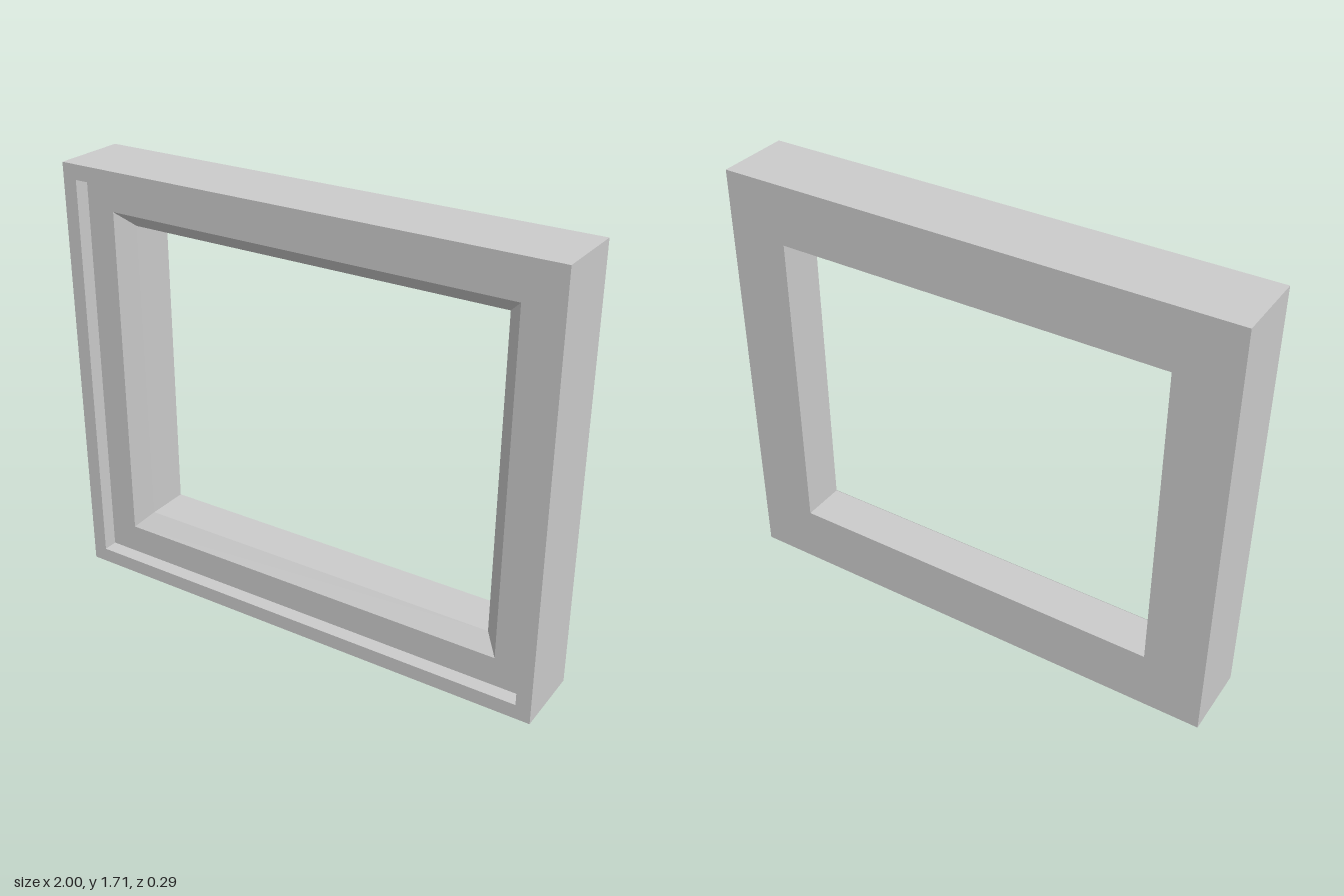
import * as THREE from 'three';

const U = 1 / 17;                  // module: the frame is 34 x 29 x 5 units
const W = 34 * U, H = 29 * U, D = 5 * U;

// Moulding cross-section as [inset from the outer edge, height above the back], in units
const PROFILE = [
  [0, 0], [0, 5],                  // outer side
  [1, 5], [1, 4],                  // raised rim and its inner wall
  [3, 4], [4, 3],                  // recessed face, then bevel
  [4, 0],                          // opening wall, closing along the back
];

// Corners of the frame, counter-clockwise from the front
const CORNERS = [[-1, -1], [1, -1], [1, 1], [-1, 1]];

// Sweep the profile round the rectangle with mitred corners
function mitredFrame() {
  const point = ([sx, sy], [inset, z]) => [
    sx * (W / 2 - inset * U),
    H / 2 + sy * (H / 2 - inset * U),
    z * U - D / 2,
  ];
  const positions = [];
  CORNERS.forEach((c, i) => {
    const next = CORNERS[(i + 1) % CORNERS.length];
    PROFILE.forEach((p, j) => {
      const q = PROFILE[(j + 1) % PROFILE.length];
      const a = point(c, p), b = point(next, p), d = point(next, q), e = point(c, q);
      positions.push(...a, ...b, ...d, ...a, ...d, ...e);
    });
  });
  const geometry = new THREE.BufferGeometry();
  geometry.setAttribute('position', new THREE.Float32BufferAttribute(positions, 3));
  geometry.computeVertexNormals(); // unshared corners keep every edge sharp
  return geometry;
}

export function createModel() {
  const group = new THREE.Group();
  group.name = 'windowFrame';
  const material = new THREE.MeshStandardMaterial({ color: 0xcccccc, flatShading: true });
  const frame = new THREE.Mesh(mitredFrame(), material);
  frame.name = 'frame';
  group.add(frame);
  return group;
}
